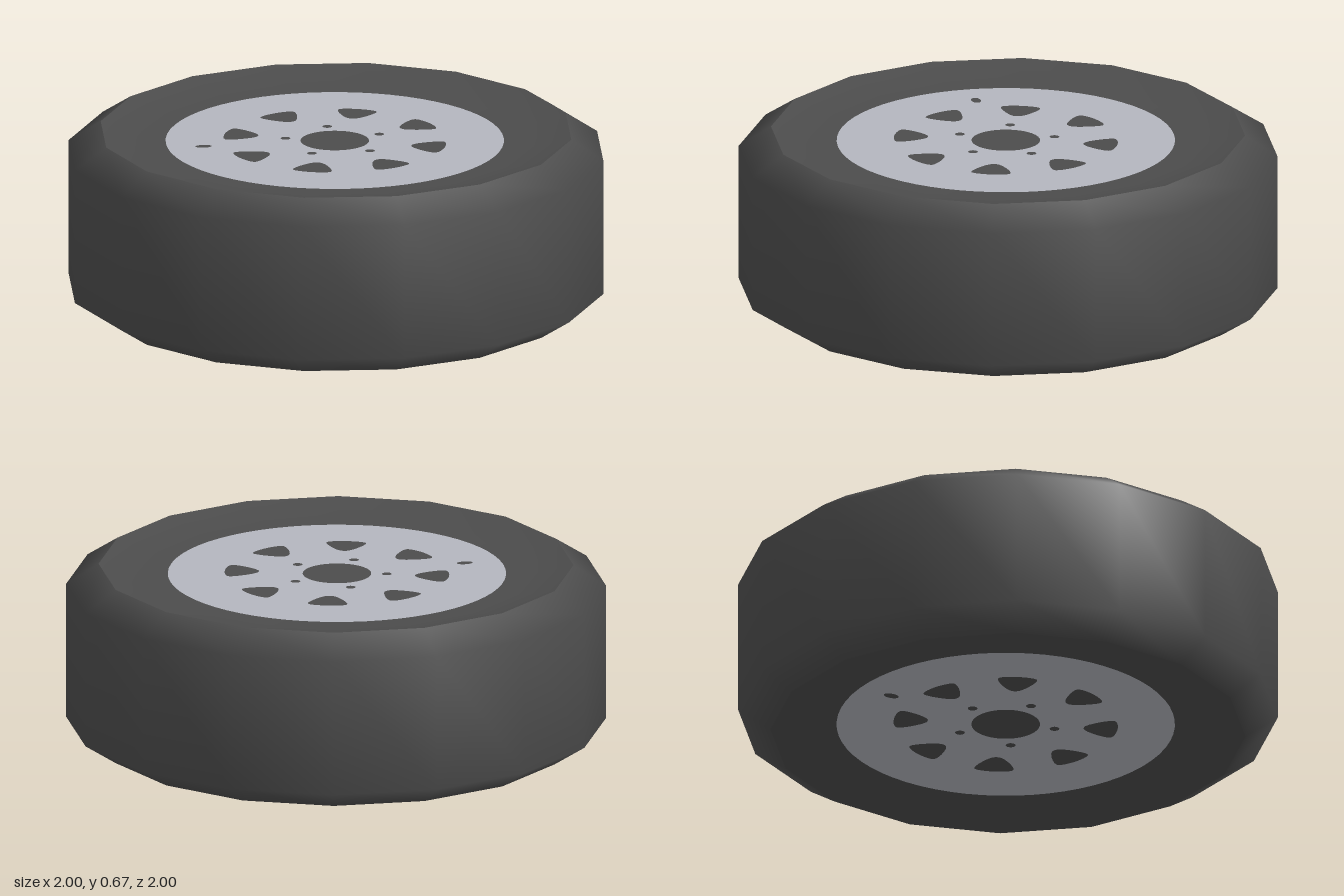
import * as THREE from 'three';

const SIDES = 16, HALF = 0.335, CAP_R = 0.88, DISH = 0.039;

const rubber = new THREE.MeshStandardMaterial({ color: 0x4c4c4c });
rubber.name = 'dark rubber';
const alloy = new THREE.MeshStandardMaterial({ color: 0xb4b6be });
alloy.name = 'light alloy';

function mesh(name, geometry, material) {
  const m = new THREE.Mesh(geometry, material);
  m.name = name;
  return m;
}

const polar = (r, deg) => {
  const a = THREE.MathUtils.degToRad(deg);
  return new THREE.Vector2(r * Math.cos(a), r * Math.sin(a));
};

const lathe = points => new THREE.LatheGeometry(points.map(p => new THREE.Vector2(...p)), SIDES);

// Round opening at a polar position
function roundHole(r, deg, rx, ry = rx) {
  const p = polar(r, deg);
  return new THREE.Path().absellipse(p.x, p.y, rx, ry, 0, Math.PI * 2, true);
}

// Rounded triangular opening, wide towards the rim
function spokeHole(deg) {
  const outline = [[0.295, -3], [0.295, 3], [0.38, 10.5], [0.407, 10], [0.417, 0], [0.407, -10], [0.38, -10.5]];
  const curve = new THREE.CatmullRomCurve3(outline.map(([r, a]) => {
    const p = polar(r, deg + a);
    return new THREE.Vector3(p.x, p.y, 0);
  }), true);
  return new THREE.Path(curve.getPoints(28).slice(0, -1).map(p => new THREE.Vector2(p.x, p.y)));
}

// Rim face with hub opening, eight spoke openings, five bolt holes and a valve hole
function rimFace() {
  const s = new THREE.Shape().absarc(0, 0, 0.627, 0, Math.PI * 2, false);
  s.holes.push(roundHole(0, 0, 0.127), roundHole(0.492, 0, 0.03, 0.018));
  for (let i = 0; i < 8; i++) s.holes.push(spokeHole(24 + i * 45));
  for (let i = 0; i < 5; i++) s.holes.push(roundHole(0.185, 54 + i * 72, 0.018));
  return new THREE.ShapeGeometry(s, 32).rotateX(-Math.PI / 2);
}

export function createModel() {
  const wheel = new THREE.Group();
  wheel.name = 'wheel';

  // Tread and bevelled shoulders
  const tread = mesh('tread', lathe([[CAP_R, -HALF], [1, 0.078 - HALF], [1, HALF - 0.078], [CAP_R, HALF]]), rubber);
  tread.position.y = HALF;
  wheel.add(tread);

  // Dished sidewall with a sunken rim face, turned over for the lower side
  const wall = lathe([[CAP_R, HALF], [0.7, HALF - DISH], [0, HALF - DISH]]);
  const rim = rimFace();
  for (const [name, flip] of [['upperSide', 0], ['lowerSide', Math.PI]]) {
    const face = mesh('rimFace', rim, alloy);
    face.position.set(0, HALF - DISH + 0.002, 0.009);
    face.rotation.y = THREE.MathUtils.degToRad(219);
    const side = new THREE.Group();
    side.name = name;
    side.position.y = HALF;
    side.rotation.x = flip;
    side.add(mesh('sidewall', wall, rubber), face);
    wheel.add(side);
  }
  return wheel;
}
